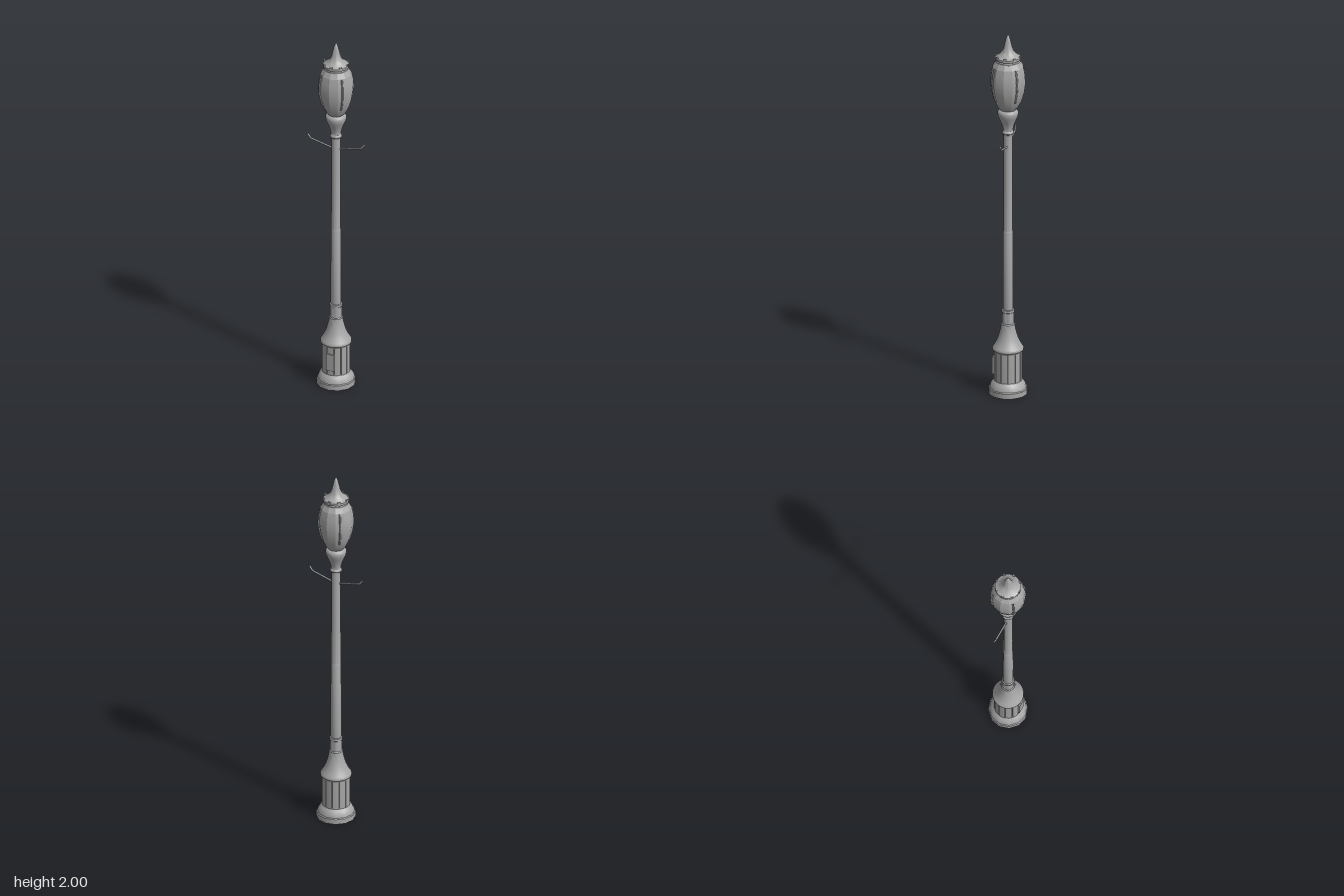
import * as THREE from 'three';
import { toCreasedNormals } from 'three/addons/utils/BufferGeometryUtils.js';

const metal = new THREE.MeshStandardMaterial({ color: 0xa6a6a6 });
metal.name = 'grey metal';

export function createModel() {
  const lamp = new THREE.Group();
  lamp.name = 'streetLamp';

  const add = (name, geometry, parent = lamp) => {
    const mesh = new THREE.Mesh(geometry, metal);
    mesh.name = name;
    parent.add(mesh);
    return mesh;
  };

  // Turned part from [radius, height] pairs, listed from bottom to top
  const turned = (name, profile, sides = 24, crease = 0.6) => {
    const points = profile.map(([r, y]) => new THREE.Vector2(r, y));
    return add(name, toCreasedNormals(new THREE.LatheGeometry(points, sides), crease));
  };

  // Hollow foot
  turned('foot', [
    [0, 0.085], [0.066, 0.085], [0.072, 0.05], [0.09, 0.03], [0.092, 0], [0.103, 0],
    [0.103, 0.028], [0.098, 0.032], [0.095, 0.045], [0.086, 0.06], [0.077, 0.07], [0.071, 0.075], [0.066, 0.085],
  ], 12);

  // Drum with twelve narrow grooves
  const outline = [];
  for (let i = 0; i < 12; i++) {
    const a = (i + 0.5) * Math.PI / 6;
    for (const [offset, r] of [[-0.03, 0.073], [-0.015, 0.066], [0.015, 0.066], [0.03, 0.073], [0.26, 0.073]]) {
      outline.push(new THREE.Vector2(r * Math.cos(a + offset), r * Math.sin(a + offset)));
    }
  }
  const drum = new THREE.ExtrudeGeometry(new THREE.Shape(outline), { depth: 0.165, bevelEnabled: false });
  drum.rotateX(-Math.PI / 2).translate(0, 0.073, 0);
  add('groovedDrum', toCreasedNormals(drum, 0.6));

  // Access door on the front
  const door = add('accessDoor', new THREE.BoxGeometry(0.045, 0.095, 0.014));
  door.position.set(0, 0.15, 0.072);

  // Collar and flared shoulder
  turned('shoulder', [
    [0.066, 0.228], [0.073, 0.232], [0.075, 0.238], [0.082, 0.244], [0.082, 0.254], [0.077, 0.262],
    [0.066, 0.28], [0.054, 0.305], [0.045, 0.335], [0.039, 0.36], [0.036, 0.385], [0.031, 0.39],
    [0.03, 0.45], [0.034, 0.453], [0.035, 0.459], [0.033, 0.465], [0.026, 0.468],
  ]);

  // Stepped pole
  turned('pole', [[0.028, 0.46], [0.027, 0.9], [0.025, 0.905], [0.024, 1.46]], 12);

  // Lamp holder
  turned('lampHolder', [
    [0.023, 1.443], [0.03, 1.447], [0.032, 1.454], [0.029, 1.462], [0.026, 1.466], [0.028, 1.485],
    [0.036, 1.51], [0.047, 1.535], [0.053, 1.55], [0.055, 1.562], [0.054, 1.572], [0.046, 1.582], [0.034, 1.586], [0, 1.586],
  ]);

  // Faceted globe
  const globeProfile = [
    [0.04, 1.582], [0.057, 1.605], [0.074, 1.64], [0.087, 1.685], [0.094, 1.735],
    [0.091, 1.785], [0.082, 1.825], [0.066, 1.852],
  ];
  turned('globe', globeProfile, 12, 0.3);

  // Four thin ribs that follow the globe on its diagonals
  const ribPath = new THREE.CatmullRomCurve3(
    globeProfile.slice(2, 7).map(([r, y]) => new THREE.Vector3(r - 0.001, y, 0)));
  const ribGeometry = new THREE.TubeGeometry(ribPath, 10, 0.005, 5);
  for (let i = 0; i < 4; i++) {
    add('globeRib', ribGeometry).rotation.y = Math.PI / 4 + i * Math.PI / 2;
  }

  // Cap with pointed finial
  turned('cap', [
    [0.058, 1.846], [0.066, 1.85], [0.066, 1.857], [0.06, 1.862], [0.068, 1.866], [0.068, 1.878],
    [0.061, 1.88], [0.05, 1.889], [0.037, 1.9], [0.029, 1.912], [0.022, 1.932], [0.016, 1.958],
    [0.01, 1.982], [0.005, 1.996], [0, 2],
  ]);

  // Eight small teeth around the cap
  for (let i = 0; i < 8; i++) {
    const a = i * Math.PI / 4;
    const tooth = add('capTooth', new THREE.BoxGeometry(0.013, 0.022, 0.008));
    tooth.position.set(Math.sin(a) * 0.065, 1.876, Math.cos(a) * 0.065);
    tooth.rotation.y = a;
  }

  // Mirrored side arms with upturned tips
  for (const side of [-1, 1]) {
    const arm = new THREE.Group();
    arm.name = side > 0 ? 'leftArm' : 'rightArm';
    arm.rotation.y = side > 0 ? 0 : Math.PI;
    lamp.add(arm);
    const joints = [[0.015, 1.377], [0.142, 1.408], [0.16, 1.43]].map(([x, y]) => new THREE.Vector3(x, y, 0));
    for (let i = 0; i < 2; i++) {
      const path = new THREE.LineCurve3(joints[i], joints[i + 1]);
      const rod = add(i ? 'armTip' : 'armRod', new THREE.CylinderGeometry(0.005, 0.005, path.getLength() + 0.003, 8), arm);
      rod.position.copy(path.getPoint(0.5));
      rod.quaternion.setFromUnitVectors(new THREE.Vector3(0, 1, 0), path.getTangent(0));
    }
  }

  return lamp;
}
